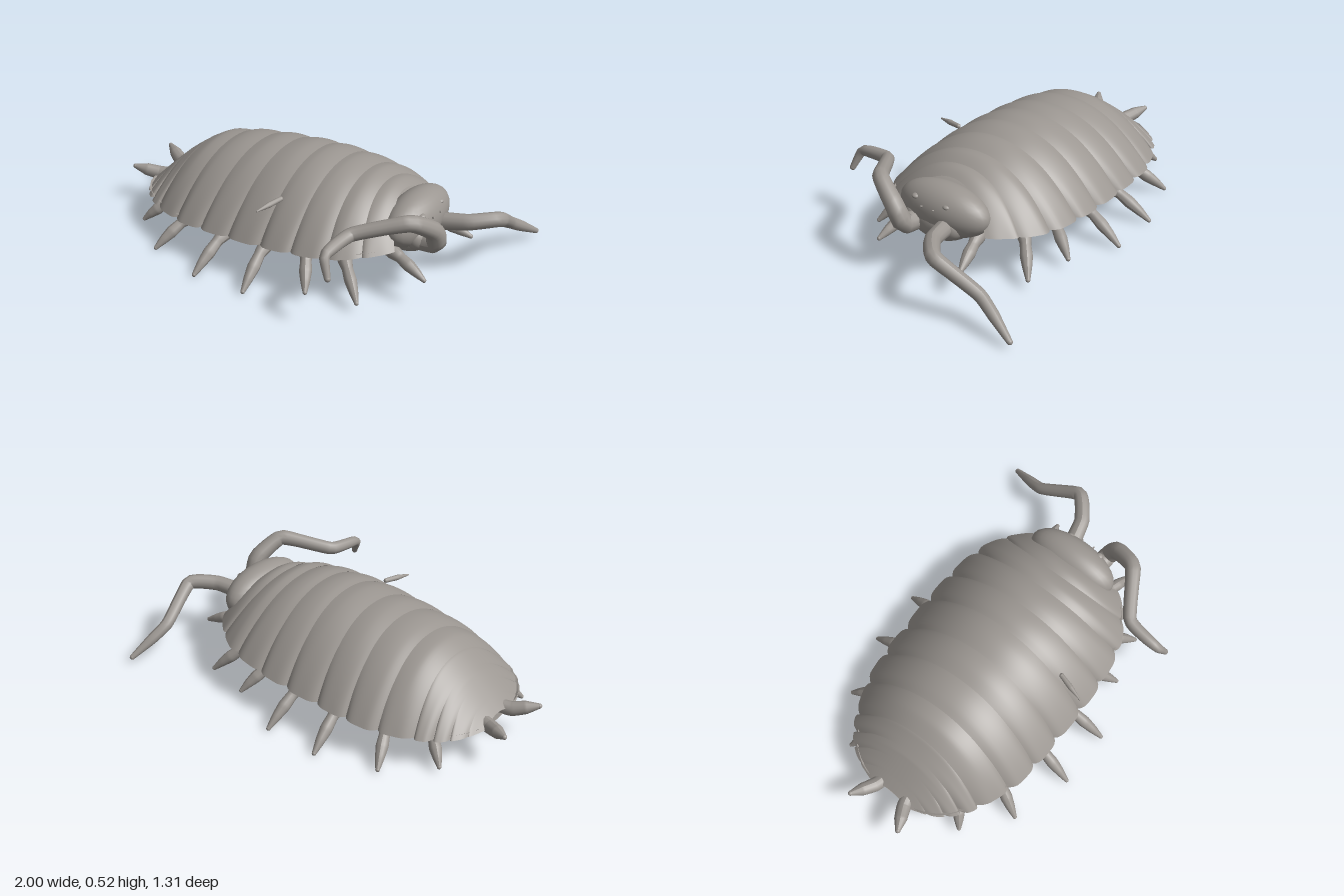
import * as THREE from 'three';

const grey = new THREE.MeshStandardMaterial({ color: 0x9b9691, side: THREE.DoubleSide });
grey.name = 'warm grey';

// linear lookup in a short list of [x, value], x ascending
function look(table, x) {
  if (x <= table[0][0]) return table[0][1];
  for (let i = 1; i < table.length; i++) {
    const [x0, a] = table[i - 1], [x1, b] = table[i];
    if (x <= x1) return a + (b - a) * (x - x0) / (x1 - x0);
  }
  return table[table.length - 1][1];
}
const WIDTH = [[-0.87, 0.11], [-0.83, 0.23], [-0.78, 0.305], [-0.7, 0.37], [-0.6, 0.42], [-0.45, 0.475], [-0.3, 0.492],
  [0, 0.5], [0.2, 0.495], [0.35, 0.475], [0.45, 0.445], [0.55, 0.39], [0.66, 0.28]];
const TOP = [[-0.86, 0.18], [-0.8, 0.235], [-0.7, 0.33], [-0.6, 0.405], [-0.52, 0.44], [-0.4, 0.468], [-0.2, 0.497],
  [0, 0.515], [0.1, 0.518], [0.25, 0.508], [0.4, 0.485], [0.5, 0.46], [0.58, 0.44]];
const RIM = [[-0.86, 0.165], [-0.5, 0.174], [-0.2, 0.19], [0, 0.202], [0.4, 0.233], [0.66, 0.262]];
// plate boundaries along the ridge and along the rim
const RIDGE = [0.555, 0.47, 0.36, 0.22, 0.07, -0.1, -0.26, -0.43, -0.59, -0.67, -0.73, -0.79, -0.85];
const EDGE = [0.66, 0.55, 0.4, 0.22, 0.05, -0.14, -0.31, -0.48, -0.64, -0.72, -0.78, -0.83, -0.87];

// grid surface from a rule f(t, u) -> [x, y, z]
function surface(nt, nu, f) {
  const pos = [], idx = [];
  for (let i = 0; i <= nt; i++) for (let j = 0; j <= nu; j++) {
    pos.push(...f(i / nt, j / nu * 2 - 1));
    if (i < nt && j < nu) {
      const a = i * (nu + 1) + j, b = a + nu + 1;
      idx.push(a, b, a + 1, b, b + 1, a + 1);
    }
  }
  const g = new THREE.BufferGeometry();
  g.setAttribute('position', new THREE.Float32BufferAttribute(pos, 3));
  g.setIndex(idx);
  g.computeVertexNormals();
  return g;
}

// tail plates are flush on the ridge and end in lobes at the rim
function plateGeometry(i) {
  const tail = i >= 8;
  return surface(12, 48, (t, u) => {
    const s = t * 1.05;
    const xc = RIDGE[i] + (RIDGE[i + 1] - RIDGE[i]) * s;
    const xr = EDGE[i] + (EDGE[i + 1] - EDGE[i]) * s;
    const x = xc + (xr - xc) * u * u;
    const scallop = 1 - (tail ? 0.1 : 0.06) * Math.abs(2 * t - 1) ** 4 * u * u;
    const rim = look(RIM, xr);
    const dome = 1 - Math.abs(u) ** 2.1;
    const bulge = tail ? 0.002 * t : 0.011 * (Math.sin(Math.PI * t) - 0.35 + 0.3 * t);
    return [x, rim + (look(TOP, xc) - rim) * dome + bulge * (1 - u ** 6), u * look(WIDTH, xr) * scallop];
  });
}

// tube through points whose thickness follows a list of radii, with round ends
function limb(name, points, radii) {
  const curve = new THREE.CatmullRomCurve3(points.map(p => new THREE.Vector3(...p)), false, 'catmullrom', 0.22);
  const n = 40, m = 12, g = new THREE.TubeGeometry(curve, n, 1, m);
  const p = g.attributes.position, v = new THREE.Vector3();
  for (let i = 0; i <= n; i++) {
    const c = curve.getPointAt(i / n), f = i / n * (radii.length - 1), k = Math.min(Math.floor(f), radii.length - 2);
    const r = radii[k] + (radii[k + 1] - radii[k]) * (f - k);
    for (let j = 0; j <= m; j++) {
      const q = i * (m + 1) + j;
      v.fromBufferAttribute(p, q).sub(c).multiplyScalar(r).add(c);
      p.setXYZ(q, v.x, v.y, v.z);
    }
  }
  g.computeVertexNormals();
  const group = new THREE.Group();
  group.name = name;
  group.add(new THREE.Mesh(g, grey));
  [0, points.length - 1].forEach((e, i) => {
    const r = i ? radii[radii.length - 1] : radii[0];
    group.add(ball('end', points[e], [r, r, r]));
  });
  return group;
}

function ball(name, at, size) {
  const mesh = new THREE.Mesh(new THREE.SphereGeometry(1, 28, 18), grey);
  mesh.name = name;
  mesh.position.set(...at);
  mesh.scale.set(...size);
  return mesh;
}

export function createModel() {
  const model = new THREE.Group();

  // overlapping back plates
  const shell = new THREE.Group();
  shell.name = 'shell';
  shell.position.z = -0.008;
  for (let i = 0; i < RIDGE.length - 1; i++) {
    const plate = new THREE.Mesh(plateGeometry(i), grey);
    plate.name = i < 8 ? 'backPlate' : 'tailPlate';
    shell.add(plate);
  }
  model.add(shell);

  // ribbed underside, closing the shell just inside the rim
  const belly = new THREE.Mesh(surface(80, 24, (t, u) => {
    const x = 0.6 - t * 1.45;
    const rib = 0.008 * Math.abs(Math.sin(t * Math.PI * 8));
    return [x, look(RIM, x) + 0.018 - (0.035 + rib) * (1 - u * u), -u * look(WIDTH, x) * 0.93];
  }), grey);
  belly.name = 'belly';
  model.add(belly);

  // head with eyes and feelers
  model.add(ball('neck', [0.46, 0.31, -0.01], [0.16, 0.11, 0.3]));
  model.add(ball('head', [0.625, 0.32, -0.015], [0.118, 0.128, 0.25]));
  model.add(ball('face', [0.635, 0.265, 0], [0.11, 0.1, 0.17]));
  for (const s of [-1, 1]) {
    model.add(ball('eye', [0.705, 0.387, s * 0.09], [0.02, 0.012, 0.02]));
    model.add(ball('feelerBase', [0.69, 0.275, s * 0.1], [0.055, 0.06, 0.062]));
    model.add(limb('smallFeeler', [[0.71, 0.35, s * 0.03], [0.74, 0.365, s * 0.035]], [0.008, 0.004]));
  }
  model.add(limb('rightAntenna', [[0.69, 0.28, -0.08], [0.85, 0.3, -0.12], [0.965, 0.305, -0.22],
    [0.925, 0.17, -0.44], [0.985, 0.045, -0.64]], [0.045, 0.04, 0.038, 0.034, 0.032, 0.028, 0.014]));
  model.add(limb('leftAntenna', [[0.69, 0.26, 0.09], [0.79, 0.275, 0.1], [0.8, 0.36, 0.14], [0.74, 0.445, 0.27],
    [0.52, 0.39, 0.42], [0.495, 0.365, 0.6], [0.535, 0.275, 0.64]], [0.05, 0.048, 0.042, 0.036, 0.034, 0.03, 0.015]));

  // seven pairs of legs: root x, root z, then foot x, y, z
  const legs = [[-0.6, 0.2, -0.77, 0.04, 0.35], [-0.43, 0.25, -0.55, 0.025, 0.53], [-0.2, 0.27, -0.24, 0.02, 0.62],
    [0.02, 0.27, 0.05, 0.025, 0.62], [0.2, 0.27, 0.33, 0.06, 0.51], [0.36, 0.25, 0.575, 0.055, 0.45],
    [0.52, 0.17, 0.81, 0.15, 0.24]];
  const mix = THREE.MathUtils.lerp;
  for (const [rx, rz, fx, fy, fz] of legs) for (const s of [-1, 1]) {
    const y = look(RIM, rx) - 0.005;
    model.add(limb(s > 0 ? 'leftLeg' : 'rightLeg', [
      [rx, y, s * rz],
      [mix(rx, fx, 0.45), mix(y, fy, 0.3), s * mix(rz, fz, 0.5)],
      [mix(rx, fx, 0.8), mix(y, fy, 0.72), s * mix(rz, fz, 0.82)],
      [fx, fy, s * fz]], [0.038, 0.035, 0.037, 0.027, 0.031, 0.023, 0.011]));
  }

  // paired tail prongs
  for (const s of [-1, 1]) {
    model.add(limb('tailProng', [[-0.76, 0.172, s * 0.06], [-0.87, 0.167, s * 0.09], [-0.985, 0.2, s * 0.15]],
      [0.03, 0.036, 0.036, 0.032, 0.013]));
  }

  // thin bristle on the left flank
  model.add(limb('bristle', [[0.075, 0.4, 0.33], [0.055, 0.393, 0.4], [0.035, 0.385, 0.47]], [0.012, 0.014, 0.004]));
  return model;
}
